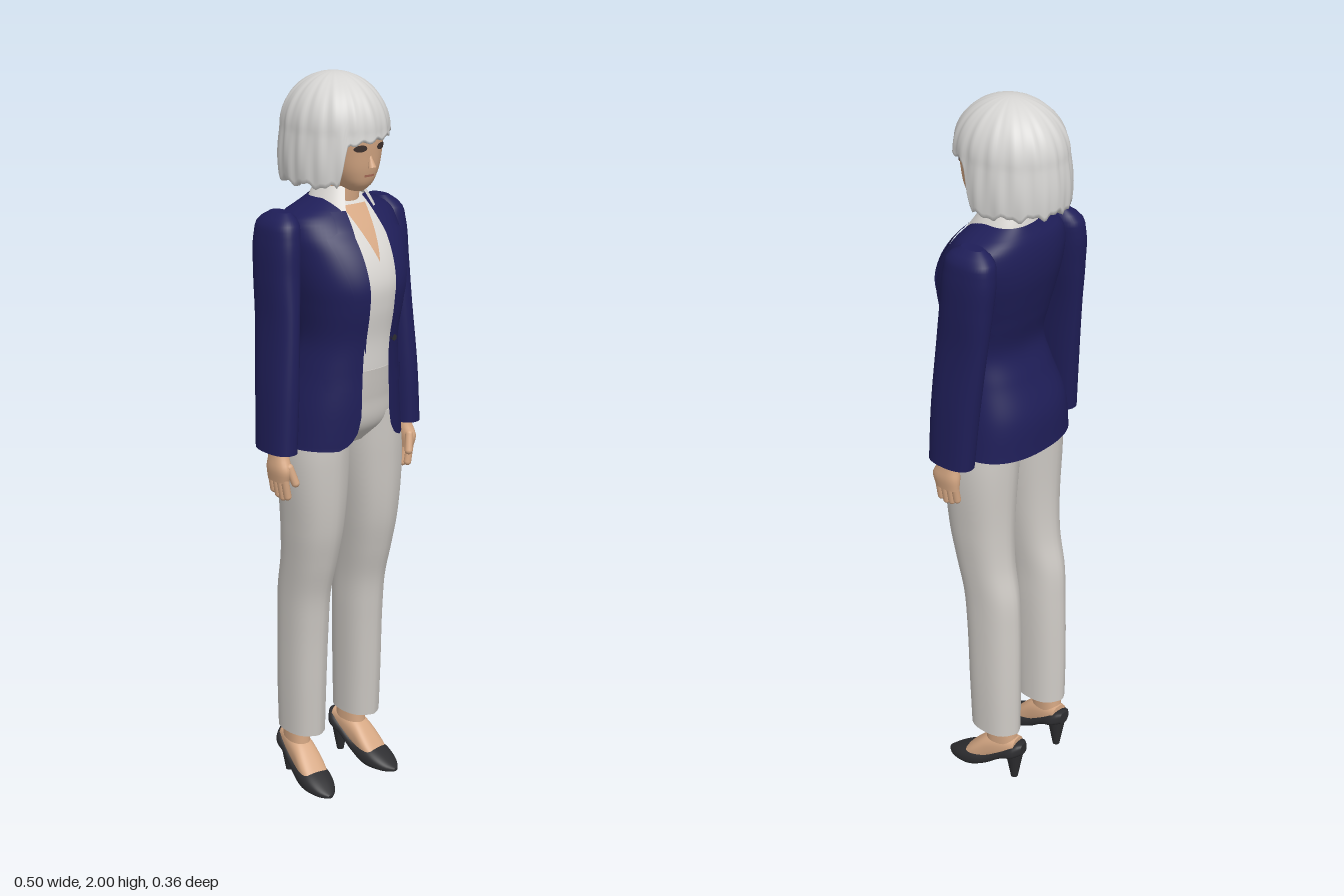
import * as THREE from 'three';

const flat = (name, color) => Object.assign(new THREE.MeshStandardMaterial({ color, side: THREE.DoubleSide }), { name });
const navy = flat('jacket navy', 0x1f1e58);
const pale = flat('trouser grey', 0xcdc9c4);
const white = flat('shirt white', 0xdad7d3);
const silver = flat('hair silver', 0xd6d5d3);
const skin = flat('skin', 0xd6a884);
const black = flat('shoe black', 0x2d2d30);
const dark = flat('eye dark', 0x40332f);
const lipRed = flat('lip', 0xb5745f);

// Smooth or straight lookup through rows of [key, ...values]
function lookup(rows, Type = THREE.CubicInterpolant) {
  const it = new Type(rows.map(r => r[0]), rows.flatMap(r => r.slice(1)), rows[0].length - 1);
  return k => Array.from(it.evaluate(k));
}
const line = rows => { const f = lookup(rows, THREE.LinearInterpolant); return k => f(k)[0]; };
const spow = (v, e) => Math.sign(v) * Math.abs(v) ** e;

// Surface from fn(u, v) -> [x, y, z]; u runs anticlockwise from above, v runs up
function grid(n, m, fn, closed) {
  const w = closed ? n : n + 1, pos = [], idx = [];
  for (let j = 0; j <= m; j++) for (let i = 0; i < w; i++) pos.push(...fn(i / n, j / m, j));
  for (let j = 0; j < m; j++) for (let i = 0; i < n; i++) {
    const a = j * w + i, b = j * w + (i + 1) % w;
    idx.push(a, b, b + w, a, b + w, a + w);
  }
  const g = new THREE.BufferGeometry();
  g.setAttribute('position', new THREE.Float32BufferAttribute(pos, 3));
  g.setIndex(idx);
  g.computeVertexNormals();
  return g;
}

// Stack of rounded sections; rows are [y, centreX, centreZ, halfWidth, frontZ, backZ]
function loft(rows, { e = 0.85, n = 44, m = 36, edges, crease = 0 } = {}) {
  const at = lookup(rows), y0 = rows[0][0], y1 = rows.at(-1)[0];
  const total = edges ? m : m + 4;
  return grid(n, total, (u, v, j) => {
    const k = edges ? j : THREE.MathUtils.clamp(j - 2, 0, m);
    const y = y0 + (y1 - y0) * k / m, [cx, cz, rx, zf, zb] = at(y);
    if (!edges && (j === 0 || j === total)) return [cx, y, (zf + zb) / 2];
    const [t0, t1] = edges ? edges(y) : [0, Math.PI * 2];
    const t = t0 + (t1 - t0) * u, c = spow(Math.cos(t), e);
    const ridge = crease * Math.max(0, 1 - Math.abs(Math.sin(t)) / 0.35) * Math.sign(c);
    return [cx + rx * spow(Math.sin(t), e), y, cz + c * (c > 0 ? zf - cz : cz - zb) + ridge];
  }, !edges);
}

// Thin patch lying on the front of a lofted body
function patch(rows, y0, y1, xa, xb, off, e = 0.85) {
  const at = lookup(rows);
  return grid(10, 24, (u, v) => {
    const y = y0 + (y1 - y0) * v, x = xa(y) + (xb(y) - xa(y)) * u, [cx, cz, rx, zf] = at(y);
    const s = Math.min(1, Math.abs(x - cx) / rx) ** (1 / e);
    return [x, y, cz + (zf - cz) * Math.sqrt(1 - s * s) ** e + off];
  });
}

export function createModel() {
  const root = new THREE.Group();
  const add = (name, geo, mat, parent = root) => {
    const m = new THREE.Mesh(geo, mat);
    m.name = name;
    parent.add(m);
    return m;
  };

  // Jacket body, open down the front with rounded lower corners
  const jacket = [
    [1.045, 0, 0, .178, .155, -.13], [1.15, 0, 0, .165, .158, -.122], [1.25, .005, .02, .145, .158, -.088],
    [1.33, .008, .03, .132, .163, -.066], [1.42, .01, .02, .143, .178, -.085], [1.48, .012, .01, .155, .18, -.1],
    [1.55, .014, -.01, .165, .156, -.114], [1.61, .015, -.02, .168, .115, -.115],
    [1.65, .017, -.02, .15, .078, -.106], [1.67, .02, -.02, .105, .058, -.095], [1.685, .022, -.02, .075, .04, -.087]];
  const openLeft = line([[1.045, .115], [1.06, .085], [1.09, .066], [1.13, .058], [1.3, .05], [1.45, .052], [1.6, .07], [1.685, .06]]);
  const openRight = line([[1.045, -.1], [1.06, -.07], [1.09, -.05], [1.13, -.041], [1.3, -.035], [1.45, -.035], [1.6, -.038], [1.685, -.02]]);
  const jacketAt = lookup(jacket);
  const angleAt = (x, y) => {
    const [cx, , rx] = jacketAt(y), k = (x - cx) / rx;
    return Math.asin(spow(THREE.MathUtils.clamp(k, -1, 1), 1 / 0.85));
  };
  add('jacketBody', loft(jacket, { m: 60, n: 64, edges: y => [angleAt(openLeft(y), y), Math.PI * 2 + angleAt(openRight(y), y)] }), navy);

  // Notched lapels, pocket flaps and the button
  const lapel = line([[1.3, 0], [1.45, .04], [1.59, .068], [1.6, .07], [1.606, .045], [1.665, .04]]);
  add('leftLapel', patch(jacket, 1.3, 1.66, openLeft, y => openLeft(y) + lapel(y), .007), navy);
  add('rightLapel', patch(jacket, 1.3, 1.66, y => openRight(y) - lapel(y), openRight, .007), navy);
  for (const s of [-1, 1])
    add('pocketFlap', patch(jacket, 1.205, 1.24, () => s * .1 - .03, () => s * .1 + .03, .006), navy);
  const button = add('button', new THREE.CylinderGeometry(.008, .008, .006, 16), black);
  button.rotation.x = Math.PI / 2;
  button.position.set(.062, 1.33, .162);

  // Shirt under the jacket, open neck and spread collar
  const shirt = jacket.filter(r => r[0] >= 1.25).map(([y, cx, cz, rx, zf, zb]) => [y, cx, cz, rx - .012, zf - .013, zb + .012]);
  add('shirt', loft(shirt), white);
  const vWidth = line([[1.535, 0], [1.6, .02], [1.67, .04]]);
  add('openNeck', patch(shirt, 1.535, 1.668, y => .02 - vWidth(y), y => .02 + vWidth(y), .004), skin);
  add('shirtCollar', loft([[1.645, .022, -.01, .092, .092, -.09], [1.68, .023, -.014, .076, .066, -.087], [1.715, .024, -.016, .056, .045, -.078]],
    { m: 8, edges: y => { const t = .42 + (1.715 - y) * 1.5; return [t, Math.PI * 2 - t]; } }), white);

  // Trousers: hips, waistband and creased legs
  const hips = [[1.04, 0, .01, .06, .085, -.07], [1.09, 0, .01, .14, .125, -.1], [1.17, 0, .01, .148, .138, -.102], [1.25, .005, .02, .128, .148, -.07]];
  add('hips', loft(hips), pale);
  add('waistband', patch(hips, 1.215, 1.248, () => -.08, () => .09, .005), pale);
  const legRows = [
    [.165, .1, -.058, .054, .015, -.13], [.3, .1, -.052, .056, .024, -.128], [.5, .098, -.04, .058, .038, -.121],
    [.6, .098, -.03, .059, .05, -.114], [.7, .097, -.01, .065, .077, -.092], [.8, .096, .005, .073, .1, -.084],
    [1, .092, .015, .084, .118, -.088], [1.12, .083, .015, .074, .122, -.095]];

  for (const s of [-1, 1]) {
    const side = s > 0 ? 'left' : 'right';
    const place = (rows, shift) => rows.map(([y, cx, ...rest]) => [y, s * cx + shift(y), ...rest]);
    add(side + 'TrouserLeg', loft(place(legRows, y => .025 * (1.12 - y) / .95), { m: 60, crease: .006 }), pale);

    // Sleeve
    add(side + 'Sleeve', loft(place([
      [1.045, .213, .018, .038, .085, -.052], [1.2, .204, .005, .039, .08, -.066], [1.39, .191, -.012, .036, .066, -.088],
      [1.5, .184, -.025, .042, .054, -.1], [1.6, .177, -.032, .043, .044, -.106], [1.64, .172, -.033, .037, .03, -.095],
      [1.66, .166, -.033, .018, 0, -.065]], y => .012 * (y - 1.045) / .6), { m: 44 }), navy);

    // Hand with curled fingers and thumb
    const hand = new THREE.Group();
    hand.name = side + 'Hand';
    root.add(hand);
    add('palm', loft(place([[.965, .217, .03, .017, .066, -.008], [1, .217, .032, .022, .074, -.01],
      [1.03, .214, .025, .022, .06, -.005], [1.08, .211, .018, .023, .045, -.012]], () => 0), { m: 12, n: 24 }), skin, hand);
    for (let i = 0; i < 4; i++) {
      const len = [.04, .05, .054, .048][i];
      const f = add('finger', new THREE.CapsuleGeometry(.0105, len, 6, 12), skin, hand);
      f.position.set(s * .214, .972 - len / 2, .002 + i * .0185);
      f.rotation.z = -s * .18;
    }
    const thumb = add('thumb', new THREE.CapsuleGeometry(.011, .045, 6, 12), skin, hand);
    thumb.position.set(s * .203, .985, .07);
    thumb.rotation.set(-.25, 0, -s * .25);

    // Foot and pump, turned slightly outward
    const foot = new THREE.Group();
    foot.name = side + 'Foot';
    foot.position.set(s * .1 + .024, 0, -.08);
    foot.rotation.y = s * .12;
    root.add(foot);
    add('ankle', loft([[.08, 0, .005, .03, .05, -.05], [.12, 0, .002, .031, .047, -.046], [.22, 0, .005, .034, .045, -.042]], { m: 12 }), skin, foot);
    // Rows run heel to toe here: [z, x, -midHeight, halfWidth, -bottom, -top]
    const lengthwise = (rows) => loft(rows, { e: .8, m: 30 }).rotateX(Math.PI / 2);
    add('instep', lengthwise([[-.05, 0, -.11, .027, -.09, -.14], [0, 0, -.1, .034, -.06, -.14],
      [.045, 0, -.08, .037, -.03, -.12], [.085, 0, -.05, .04, -.015, -.083], [.115, 0, -.03, .036, -.01, -.05]]), skin, foot);
    add('shoe', lengthwise([[-.071, 0, -.11, .016, -.092, -.128], [-.055, 0, -.1, .034, -.084, -.128],
      [-.01, 0, -.08, .039, -.064, -.1], [.04, 0, -.045, .042, -.028, -.07], [.09, 0, -.028, .047, -.004, -.064],
      [.13, 0, -.02, .041, -.002, -.046], [.165, 0, -.012, .022, -.003, -.024], [.178, 0, -.01, .007, -.006, -.015]]), black, foot);
    const heel = add('heel', new THREE.CylinderGeometry(.028, .01, .1, 16), black, foot);
    heel.position.set(0, .05, -.04);
  }

  // Neck, head and facial features
  add('neck', loft([[1.6, .022, -.02, .055, .03, -.075], [1.67, .023, -.012, .046, .04, -.065], [1.78, .025, -.01, .046, .05, -.07]]), skin);
  const head = [[1.705, .024, .05, .016, .076, .03], [1.72, .024, .035, .04, .092, 0], [1.75, .023, .02, .064, .104, -.045],
    [1.8, .02, .005, .085, .112, -.085], [1.86, .015, 0, .097, .115, -.11], [1.92, .012, -.01, .085, .098, -.105], [1.965, .012, -.015, .035, .03, -.05]];
  add('head', loft(head), skin);
  const nose = add('nose', new THREE.ConeGeometry(.011, .04, 12), skin);
  nose.position.set(.024, 1.79, .112);
  nose.rotation.x = -.25;
  for (const s of [-1, 1]) {
    const x = .024 + s * .035;
    const lid = y => .018 * Math.sqrt(Math.max(0, 1 - ((y - 1.822) / .009) ** 2));
    add('eye', patch(head, 1.813, 1.831, y => x - lid(y), y => x + lid(y), .003), dark);
    const ear = add('ear', new THREE.SphereGeometry(.025, 16, 12), skin);
    ear.scale.set(.4, 1.1, .7);
    ear.position.set(.02 + s * .088, 1.8, .005);
  }
  add('mouth', patch(head, 1.746, 1.752, () => .008, () => .04, .003), lipRed);

  // Bob haircut: one shell whose lower edge rises into a swept fringe over the face
  const { smoothstep } = THREE.MathUtils;
  add('hair', grid(128, 40, (u, v, j) => {
    const t = u * Math.PI * 2, a = t > Math.PI ? t - Math.PI * 2 : t;
    const face = smoothstep(a, -.75, -.5) * (1 - smoothstep(a, 1.2, 1.5));
    const low = 1.725 + .012 * Math.abs(a) / Math.PI + .006 * Math.sin(13 * t) + .004 * Math.sin(29 * t);
    const bottom = low + face * (1.842 + .012 * a + .005 * Math.sin(19 * t) - low);
    const y = bottom + (2 - bottom) * Math.sin(Math.max(0, j - 2) / 38 * Math.PI / 2);
    let r = y > 1.86 ? .13 * Math.sqrt(Math.max(0, 1 - ((y - 1.86) / .14) ** 2)) : .13 + .006 * Math.sin((1.86 - y) / .13 * 2.6);
    r *= 1 + .012 * Math.sin(17 * t + 14 * y) + .006 * Math.sin(31 * t - 9 * y);
    r *= [.88, .95][j] ?? 1;
    return [.012 + r * Math.sin(t), y, -.017 + r * 1.18 * Math.cos(t)];
  }, true), silver);

  return root;
}
